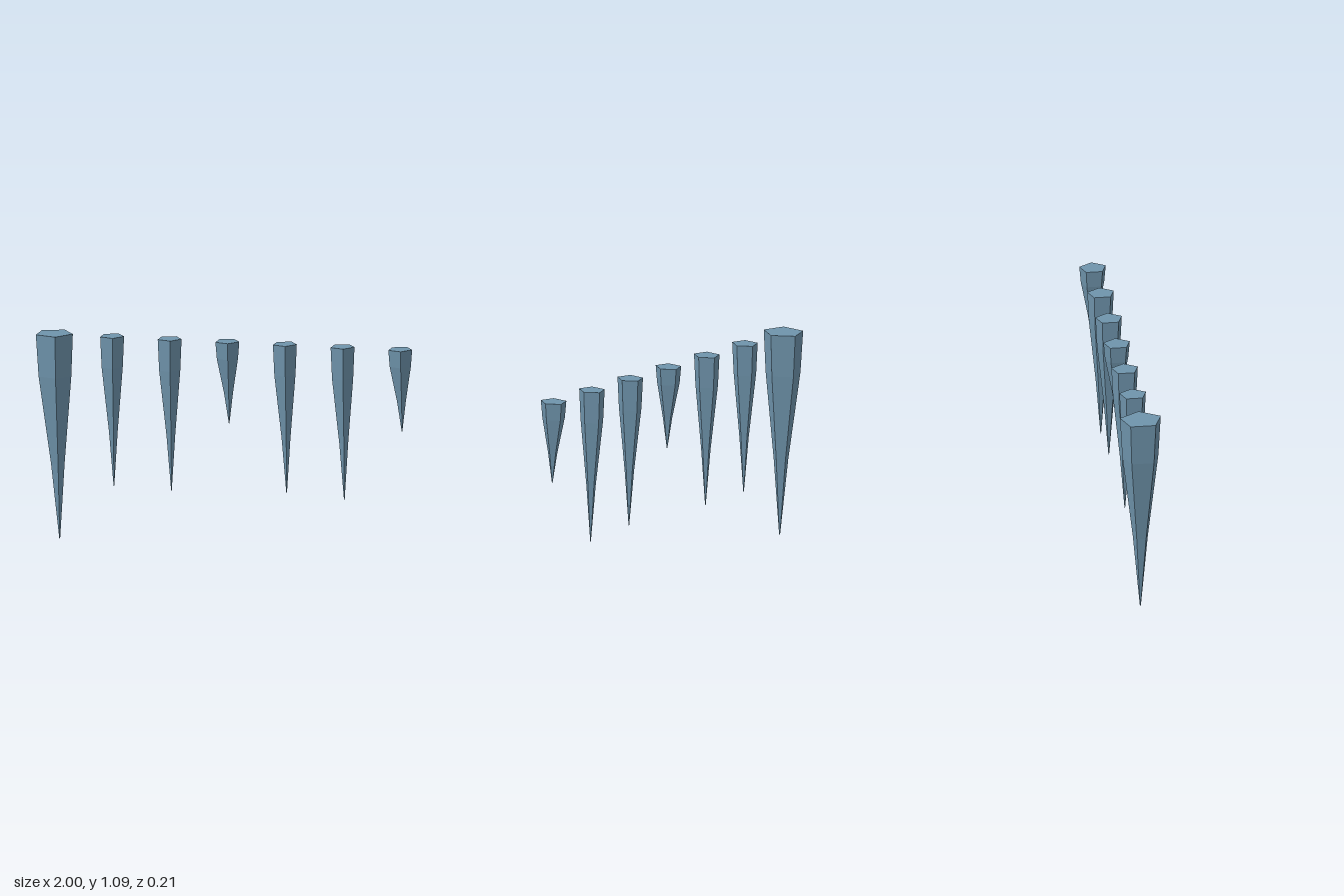
import * as THREE from 'three';

const TOP = 1.085;
// Rings from root to tip: [fraction of the length, cross-section scale]
const RINGS = [[0, 1], [0.205, 0.885], [0.63, 0.37], [1, 0.025]];

// Five-sided spike hanging from TOP; left = lowest x, rx/rz = root radii, lean = tip shift in x
function spikeGeometry(left, tipY, rx, rz, lean) {
  const geo = new THREE.CylinderGeometry(1, 1, 1, 5, RINGS.length - 1, false, Math.PI / 2);
  const pos = geo.attributes.position;
  const cos72 = Math.cos(Math.PI * 0.4);
  const pivot = left + rx * (Math.cos(Math.PI / 5) + cos72);
  for (let i = 0; i < pos.count; i++) {
    const ring = Math.round((0.5 - pos.getY(i)) * (RINGS.length - 1));
    const [t, s] = RINGS[ring];
    // Rings shrink towards the line of the side corners, not the centre
    pos.setXYZ(i,
      pivot + (pos.getX(i) - cos72) * rx * s + lean * t,
      TOP - (TOP - tipY) * t,
      pos.getZ(i) * rz * s);
  }
  const flat = geo.toNonIndexed();
  flat.computeVertexNormals();
  return flat;
}

export function createModel() {
  const model = new THREE.Group();
  model.name = 'icicles';
  const ice = new THREE.MeshStandardMaterial({ color: 0x6f94ac, flatShading: true });
  ice.name = 'blue ice';

  const add = (name, ...shape) => {
    const mesh = new THREE.Mesh(spikeGeometry(...shape), ice);
    mesh.name = name;
    model.add(mesh);
  };

  // Large icicle at one end
  add('largeIcicle', -1, 0, 0.1005, 0.1125, 0);

  // Row of slim icicles: [left edge, tip height]
  [[-0.661, 0.29], [-0.353, 0.28], [-0.044, 0.65], [0.264, 0.295], [0.573, 0.272], [0.882, 0.65]]
    .forEach(([left, tipY], i) => add(`smallIcicle${i + 1}`, left, tipY, 0.0648, 0.073, -0.009));

  return model;
}
